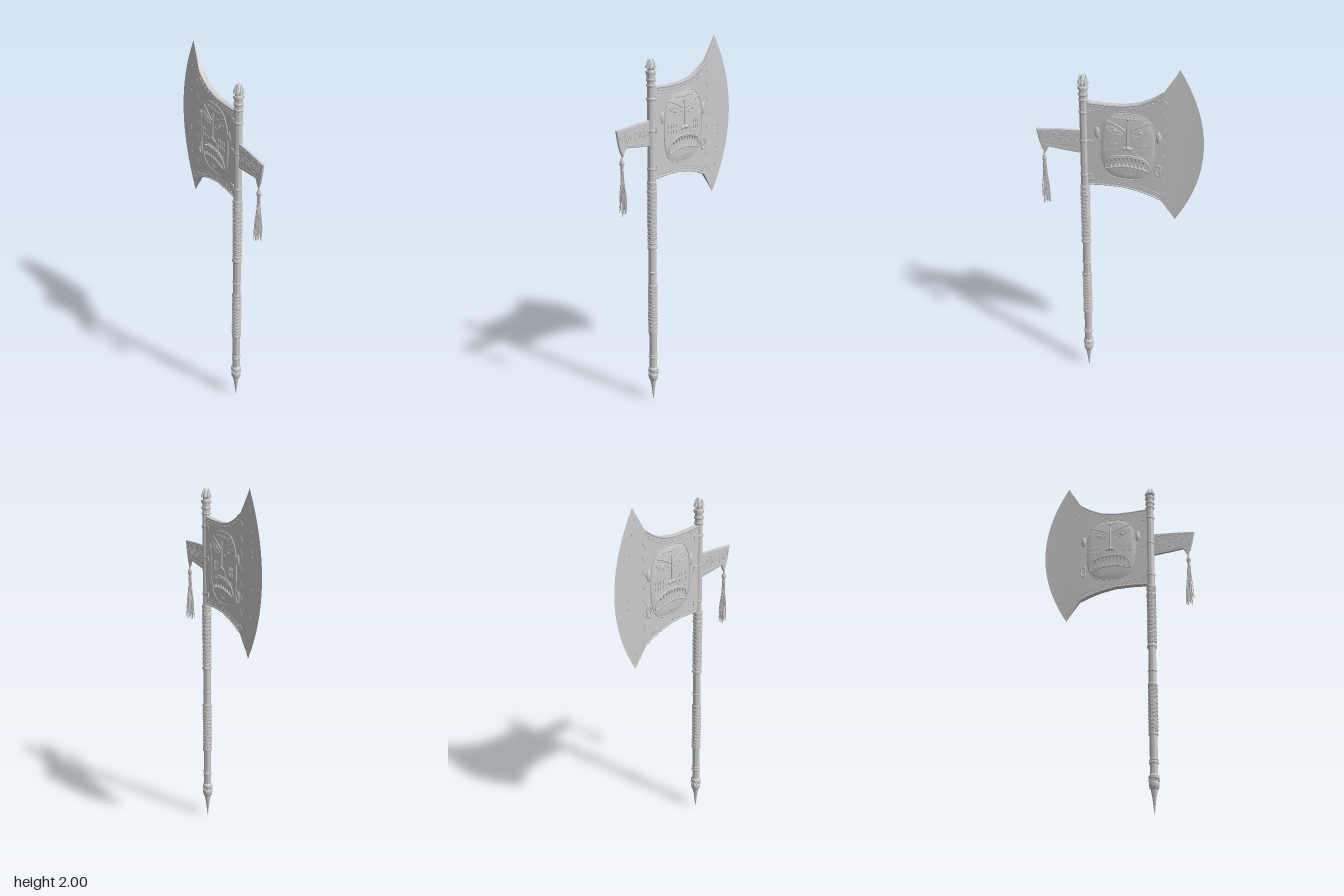
import * as THREE from 'three';
import { toCreasedNormals } from 'three/addons/utils/BufferGeometryUtils.js';

const mat = new THREE.MeshStandardMaterial({ color: 0xcccccc, side: THREE.DoubleSide });
const V = (x, y, z) => new THREE.Vector3(x, y, z);
const SHAFT_Z = 0.185;

function add(parent, name, geometry, x = 0, y = 0, z = 0) {
  const m = new THREE.Mesh(geometry, mat);
  m.name = name;
  m.position.set(x, y, z);
  parent.add(m);
  return m;
}
const tube = (pts, r, closed = false, seg = 40, sides = 6) =>
  new THREE.TubeGeometry(new THREE.CatmullRomCurve3(pts, closed), seg, r, sides, closed);

// Blade columns: [across, top, bottom, forward bulge, half thickness]
const COLS = [
  [-0.17, 1.79, 1.3, 0, 0.011], [-0.07, 1.785, 1.305, 0, 0.012], [0.02, 1.786, 1.303, 0, 0.012],
  [0.1, 1.8, 1.287, 0, 0.012], [0.17, 1.832, 1.265, 0, 0.011], [0.225, 1.87, 1.24, 0, 0.01],
  [0.285, 1.97, 1.15, 0.057, 0.002], [0.3, 2.0, 1.125, 0.135, 0.0008],
];
function edgeY(a, k) {
  let i = 0;
  while (i < COLS.length - 2 && COLS[i + 1][0] < a) i++;
  const [p, q] = [COLS[i], COLS[i + 1]];
  return THREE.MathUtils.lerp(p[k], q[k], (a - p[0]) / (q[0] - p[0]));
}

// Blade body: a closed loop per column, up one face and down the other
function bladeGeometry() {
  const N = 32, L = 2 * (N + 1), pos = [], idx = [];
  for (const [a, top, bot, bulge, half] of COLS) {
    for (let j = 0; j < L; j++) {
      const v = (j <= N ? j : L - 1 - j) / N;
      pos.push(a + bulge * (1 - (2 * v - 1) ** 2), bot + (top - bot) * v, j <= N ? half : -half);
    }
  }
  for (let i = 0; i < COLS.length - 1; i++) {
    for (let j = 0; j < L; j++) {
      const p = i * L + j, q = i * L + (j + 1) % L;
      idx.push(p, p + L, q + L, p, q + L, q);
    }
  }
  const g = new THREE.BufferGeometry();
  g.setAttribute('position', new THREE.Float32BufferAttribute(pos, 3));
  g.setIndex(idx);
  return toCreasedNormals(g, 0.6);
}

// Height of the mask dome over the blade, across/up from the mask centre
const RX = 0.148, RY = 0.197, MASK_A = 0.045, MASK_Y = 1.55;
function dome(a, y) {
  const p = Math.abs(a / RX) ** 3 + Math.abs((y - MASK_Y) / RY) ** 3;
  return 0.011 + 0.012 * Math.max(0, 1 - p) ** 0.6;
}
const onMask = (a, y, lift = 0) => V(MASK_A + a, y, dome(a, y) + lift);
const maskTube = (list, r, closed) => tube(list.map(([a, y]) => onMask(a, y)), r, closed, 48);
function rim(t, k = 1) {
  const c = Math.cos(t), s = Math.sin(t);
  const r = k / Math.cbrt(Math.abs(c) ** 3 + Math.abs(s) ** 3);
  return [c * r * RX, MASK_Y + s * r * RY];
}

function maskGeometry() {
  const R = 12, S = 48, pos = [], idx = [];
  for (let i = 0; i <= R; i++) {
    for (let j = 0; j <= S; j++) pos.push(...onMask(...rim(j / S * Math.PI * 2, i / R)).toArray());
  }
  for (let i = 0; i < R; i++) {
    for (let j = 0; j < S; j++) {
      const p = i * (S + 1) + j, q = p + S + 1;
      idx.push(p, q, q + 1, p, q + 1, p + 1);
    }
  }
  const g = new THREE.BufferGeometry();
  g.setAttribute('position', new THREE.Float32BufferAttribute(pos, 3));
  g.setIndex(idx);
  g.computeVertexNormals();
  return g;
}

// Everything raised on one face of the blade
function bladeFace() {
  const g = new THREE.Group();
  add(g, 'maskDome', maskGeometry());
  add(g, 'maskRim', maskTube(Array.from({ length: 32 }, (_, i) => rim(i / 32 * Math.PI * 2, 0.98)), 0.003, true));
  for (const s of [-1, 1]) {
    add(g, 'eyeLid', maskTube([[s * 0.022, 1.628], [s * 0.06, 1.625], [s * 0.112, 1.662], [s * 0.066, 1.658]], 0.0028, true));
    add(g, 'pupil', new THREE.SphereGeometry(0.012, 12, 8).scale(1, 0.8, 0.35), ...onMask(s * 0.066, 1.642).toArray());
    add(g, 'brow', maskTube([[s * 0.012, 1.65], [s * 0.05, 1.674], [s * 0.115, 1.7]], 0.0045));
    add(g, 'cheekLine', maskTube([[s * 0.03, 1.55], [s * 0.05, 1.515], [s * 0.115, 1.485]], 0.002));
    add(g, 'nostril', new THREE.SphereGeometry(0.013, 12, 8).scale(1, 0.8, 0.5), ...onMask(s * 0.015, 1.545).toArray());
    add(g, 'ear', new THREE.SphereGeometry(0.03, 14, 10).scale(0.5, 1.1, 0.3), MASK_A + s * 0.158, 1.62, 0.01);
    for (let i = 0; i < 8; i++) {
      const a = s * (0.06 + (i % 4) * 0.018), y = i < 4 ? 1.565 : 1.535;
      add(g, 'cheekMark', new THREE.BoxGeometry(0.013, 0.018, 0.005), ...onMask(a, y).toArray());
    }
  }
  add(g, 'noseBridge', maskTube([[0, 1.69], [0, 1.62], [0, 1.545]], 0.006));
  add(g, 'noseTip', new THREE.SphereGeometry(0.012, 12, 8).scale(1, 1, 0.6), ...onMask(0, 1.55, 0.001).toArray());
  // Frowning mouth with two rows of teeth
  add(g, 'lips', maskTube([[-0.115, 1.42], [-0.1, 1.475], [-0.05, 1.5], [0.05, 1.5], [0.1, 1.475],
    [0.115, 1.42], [0.06, 1.432], [0, 1.44], [-0.06, 1.432]], 0.005, true));
  for (let i = -4; i <= 4; i++) {
    const a = i * 0.021, drop = a * a * 2.4;
    const up = add(g, 'upperTooth', new THREE.ConeGeometry(0.009, 0.024, 6), ...onMask(a, 1.487 - drop).toArray());
    up.rotation.z = Math.PI;
    add(g, 'lowerTooth', new THREE.ConeGeometry(0.008, 0.02, 6), ...onMask(a, 1.452 - drop * 0.8).toArray());
  }
  add(g, 'chinMark', maskTube([[-0.022, 1.39], [-0.01, 1.395], [0, 1.378], [0.01, 1.395], [0.022, 1.39]], 0.0025));
  for (const i of [-3, -2, -1, 1, 2, 3]) add(g, 'browBead', new THREE.SphereGeometry(0.006, 8, 6), ...onMask(i * 0.02, 1.715, -0.002).toArray());
  add(g, 'foreheadGem', new THREE.OctahedronGeometry(0.011).scale(1, 1.3, 0.4), ...onMask(0, 1.713).toArray());
  // Riveted borders along the top and bottom edges
  for (const [k, s] of [[1, -1], [2, 1]]) {
    for (const [off, r] of [[0.005, 0.005], [0.035, 0.0025]]) {
      const line = Array.from({ length: 14 }, (_, i) => { const a = -0.16 + i * 0.029; return V(a, edgeY(a, k) + s * off, 0.0105); });
      add(g, 'borderLine', tube(line, r));
    }
    for (let i = 0; i < 13; i++) {
      const a = -0.14 + i * 0.028;
      add(g, 'rivet', new THREE.SphereGeometry(0.0045, 8, 6), a, edgeY(a, k) + s * 0.02, 0.0115);
    }
  }
  // Wavy seam and fine line before the cutting edge
  const seam = Array.from({ length: 41 }, (_, i) => V(0.232 + 0.012 * Math.sin(i * 1.25), 1.25 + i * 0.0153, 0.008));
  add(g, 'wavySeam', tube(seam, 0.003, false, 120));
  for (let i = 0; i < 34; i++) {
    const v = (i + 0.5) / 34;
    add(g, 'edgeStitch', new THREE.BoxGeometry(0.003, 0.012, 0.002), 0.285 + 0.057 * (1 - (2 * v - 1) ** 2), 1.15 + 0.82 * v, 0.002);
  }
  for (const y of [1.73, 1.56, 1.36]) add(g, 'shaftBracket', new THREE.BoxGeometry(0.03, 0.026, 0.01), -0.15, y, 0.011);
  add(g, 'earRing', new THREE.TorusGeometry(0.014, 0.004, 8, 20).scale(1, 2.2, 1), 0.205, 1.425, 0.012);
  return g;
}

// Bake a mirrored copy of a face onto the other side of the blade
function mirrored(group) {
  const out = new THREE.Group();
  group.updateMatrixWorld(true);
  group.traverse((m) => {
    if (!m.isMesh) return;
    const geo = m.geometry.clone().applyMatrix4(m.matrixWorld).scale(1, 1, -1);
    const g = geo.index ? geo.toNonIndexed() : geo;
    for (const key of ['position', 'normal']) {
      const at = g.attributes[key].array;
      for (let i = 0; i < at.length; i += 9) {
        for (let c = 0; c < 3; c++) [at[i + 3 + c], at[i + 6 + c]] = [at[i + 6 + c], at[i + 3 + c]];
      }
    }
    const n = g.attributes.normal.array;
    // normals mirror along with the surface
    for (let i = 2; i < n.length; i += 3) n[i] = Math.sign(n[i]) * Math.abs(n[i]);
    add(out, m.name, g);
  });
  return out;
}

function buildShaft(parent) {
  const lathe = (name, pts, seg = 24) => add(parent, name,
    toCreasedNormals(new THREE.LatheGeometry(pts.map(([r, y]) => new THREE.Vector2(r, y)), seg), 0.6));
  lathe('pole', [[0, 0.14], [0.021, 0.14], [0.021, 1.87], [0, 1.87]]);
  lathe('buttSpike', [[0, 0], [0.003, 0.02], [0.011, 0.09], [0.018, 0.125], [0.018, 0.14]]);
  lathe('pommel', [[0.016, 0.125], [0.024, 0.135], [0.027, 0.15], [0.027, 0.165], [0.023, 0.17], [0.023, 0.18],
    [0.028, 0.185], [0.028, 0.2], [0.021, 0.21]]);
  for (let i = 0; i < 10; i++) {
    const t = i / 10 * Math.PI * 2;
    add(parent, 'pommelStud', new THREE.SphereGeometry(0.005, 8, 6), 0.026 * Math.cos(t), 0.175, 0.026 * Math.sin(t));
  }
  // Collars: [height, radius, length]
  for (const [y, r, h] of [[0.27, 0.025, 0.015], [0.285, 0.024, 0.008], [0.425, 0.026, 0.018], [0.7, 0.026, 0.018], [0.78, 0.024, 0.012],
    [0.925, 0.027, 0.02], [0.95, 0.026, 0.01], [1.235, 0.027, 0.014], [1.285, 0.026, 0.016], [1.36, 0.024, 0.014],
    [1.565, 0.024, 0.014], [1.73, 0.025, 0.016], [1.8, 0.025, 0.012], [1.83, 0.026, 0.016], [1.865, 0.027, 0.018]]) {
    lathe('collar', [[0.02, y - h / 2], [r - 0.002, y - h / 2], [r, y - h / 4], [r, y + h / 4], [r - 0.002, y + h / 2], [0.02, y + h / 2]]);
  }
  // Crossed cord grips
  for (const [y0, y1, turns] of [[0.435, 0.69, 6], [0.955, 1.28, 7]]) {
    lathe('gripCore', [[0.02, y0], [0.0235, y0], [0.0235, y1], [0.02, y1]]);
    for (const s of [-1, 1]) {
      for (const start of [0, Math.PI]) {
        const n = turns * 12;
        const pts = Array.from({ length: n + 1 }, (_, i) => {
          const t = start + s * i / 12 * Math.PI * 2;
          return V(0.0235 * Math.cos(t), y0 + (y1 - y0) * i / n, 0.0235 * Math.sin(t));
        });
        add(parent, 'gripCord', tube(pts, 0.0032, false, n * 2, 5));
      }
    }
  }
  // Crown of curved claws around a bud
  lathe('crownBud', [[0.02, 1.87], [0.017, 1.88], [0.023, 1.892], [0.02, 1.905], [0.012, 1.918], [0.006, 1.93], [0, 1.935]]);
  for (let i = 0; i < 8; i++) {
    const claw = new THREE.ConeGeometry(0.007, 0.05, 6).rotateZ(0.2).translate(0.019, 1.912, 0).rotateY(i / 8 * Math.PI * 2);
    add(parent, 'crownClaw', claw);
  }
}

function buildBackBlade(parent) {
  const shape = new THREE.Shape([[-0.19, 1.485], [-0.19, 1.622], [-0.3, 1.618], [-0.437, 1.607], [-0.425, 1.545], [-0.413, 1.5],
    [-0.395, 1.465], [-0.372, 1.507], [-0.3, 1.497]].map((p) => new THREE.Vector2(...p)));
  add(parent, 'backBlade', new THREE.ExtrudeGeometry(shape, { depth: 0.01, bevelSize: 0.003, bevelThickness: 0.002, bevelOffset: -0.003, bevelSegments: 1 }), 0, 0, -0.005);
  // Scroll carving on both faces
  for (const z of [-0.007, 0.007]) {
    for (const [top, bottom] of [[1.605, 1.6], [1.505, 1.522]]) add(parent, 'carvedBorder', tube([V(-0.21, top, z), V(-0.41, bottom, z)], 0.002));
    for (let i = 0; i < 6; i++) {
      const x = -0.23 - i * 0.033, y = 1.556 + (i % 2 ? 0.01 : -0.008);
      const scroll = Array.from({ length: 14 }, (_, k) => V(x + (0.004 + k * 0.0015) * Math.cos(k * 0.75), y + (0.005 + k * 0.002) * Math.sin(k * 0.75), z));
      add(parent, 'scroll', tube(scroll, 0.002, false, 36, 5));
    }
  }
}

// Tassel hanging from the back blade
function buildTassel(parent) {
  let seed = 7;
  const rnd = () => (seed = (seed * 16807) % 2147483647) / 2147483647;
  const knot = [[0.004, 1.47], [0.006, 1.45], [0.012, 1.44], [0.013, 1.428], [0.006, 1.412], [0.009, 1.4], [0.008, 1.385], [0, 1.38]];
  add(parent, 'tasselKnot', new THREE.LatheGeometry(knot.map((p) => new THREE.Vector2(...p)), 14));
  for (let i = 0; i < 44; i++) {
    const t = rnd() * Math.PI * 2, r = 0.024 * Math.sqrt(rnd()), end = 1.155 + rnd() * 0.07;
    const at = (k, y) => V(Math.cos(t) * r * k, y, Math.sin(t) * r * k);
    add(parent, 'tasselStrand', tube([at(0.3, 1.41), at(0.45, 1.34), at(0.7 + rnd() * 0.2, 1.26), at(1, end)], 0.0018, false, 10, 4));
  }
}

export function createModel() {
  const model = new THREE.Group();
  const part = (name, z = 0, turned = false) => {
    const g = new THREE.Group();
    g.name = name;
    g.position.z = z;
    if (turned) g.rotation.y = Math.PI / 2;
    model.add(g);
    return g;
  };
  buildShaft(part('shaft', SHAFT_Z));
  const head = part('axeHead', 0, true);
  add(head, 'blade', bladeGeometry());
  const face = bladeFace();
  face.name = 'leftFace';
  const other = mirrored(face);
  other.name = 'rightFace';
  head.add(face, other);
  buildBackBlade(part('backSpike', 0, true));
  buildTassel(part('tassel', 0.4));
  return model;
}
